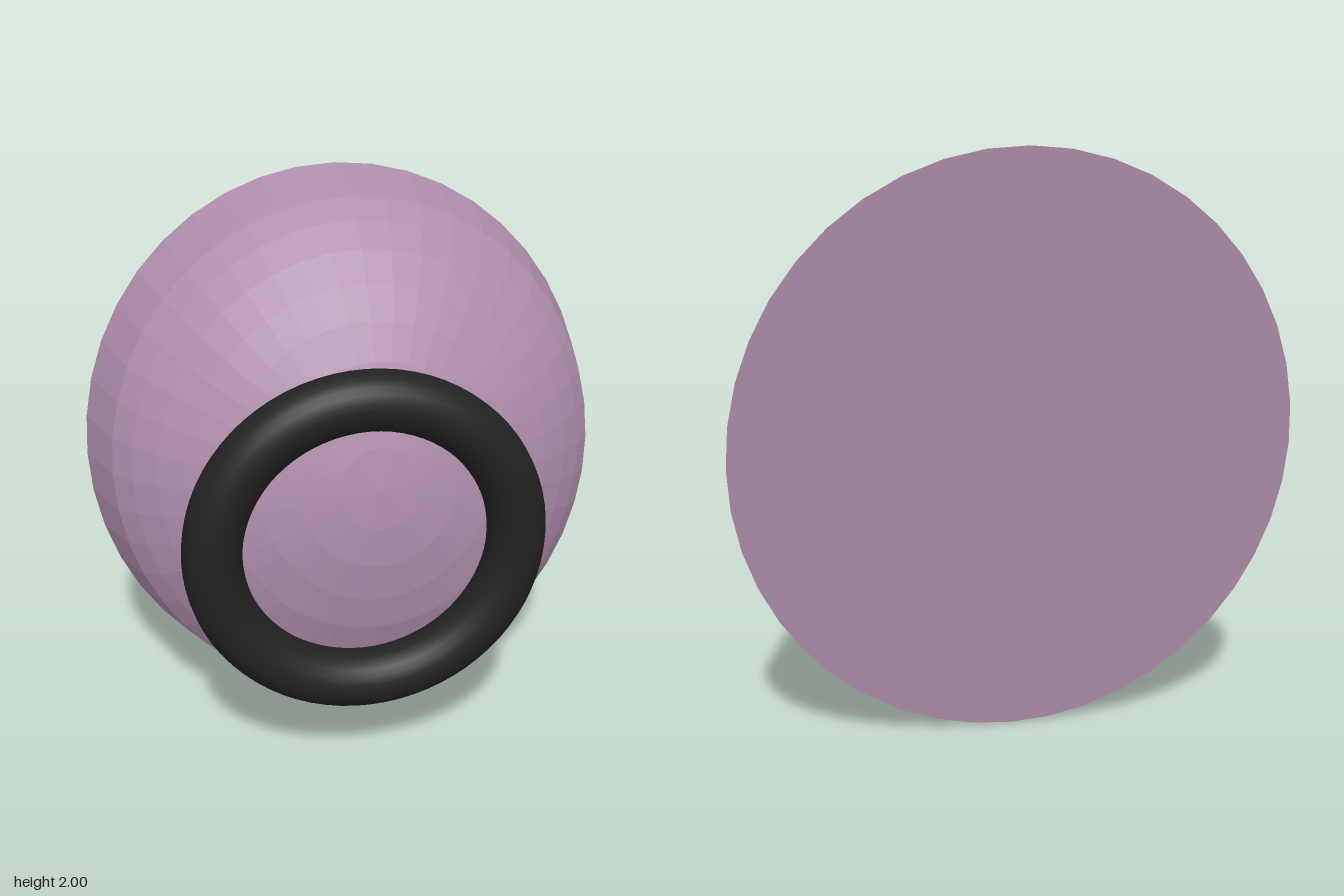
import * as THREE from 'three';

const SIDES = 44;
const STEP = (Math.PI * 2) / SIDES;

// Flattened faceted dome with a closed flat back, opening along +z
function domeGeometry(radiusX, radiusY, depth) {
  const profile = [new THREE.Vector2(0, 0), new THREE.Vector2(1, 0)];
  // the first band above the rim is three steps tall
  for (let i = 3; i < SIDES / 4; i++) {
    profile.push(new THREE.Vector2(Math.cos(i * STEP), Math.sin(i * STEP)));
  }
  profile.push(new THREE.Vector2(0, 1));
  const geometry = new THREE.LatheGeometry(profile, SIDES)
    .rotateX(Math.PI / 2)
    .scale(radiusX, radiusY, depth)
    .toNonIndexed();
  geometry.computeVertexNormals(); // flat facets
  return geometry;
}

export function createModel() {
  const model = new THREE.Group();
  const mauve = new THREE.MeshStandardMaterial({ color: 0xb08eac });
  mauve.name = 'mauve';
  const black = new THREE.MeshStandardMaterial({ color: 0x222222 });
  black.name = 'black';

  // Dome leaning back slightly
  const dome = new THREE.Mesh(domeGeometry(0.955, 1.007, 0.705), mauve);
  dome.name = 'dome';
  dome.position.set(0, 1, -0.35);
  dome.rotation.x = -0.119;
  model.add(dome);

  // Upright ring resting against the front of the dome
  const ring = new THREE.Mesh(new THREE.TorusGeometry(0.518, 0.1, 24, 72), black);
  ring.name = 'ring';
  ring.position.set(-0.055, 0.9, 0.38);
  model.add(ring);

  return model;
}
